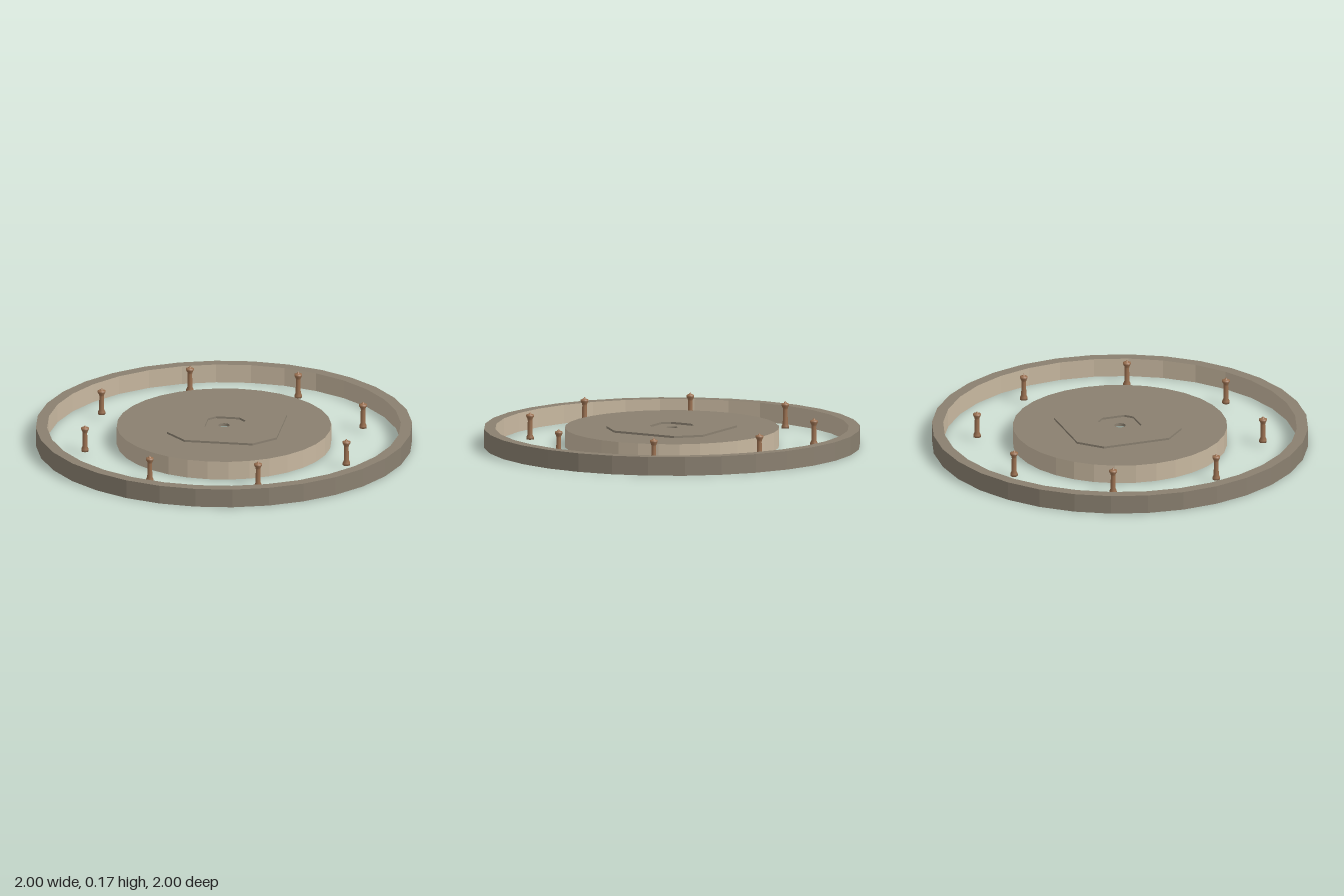
import * as THREE from 'three';

function material(name, color, flatShading) {
  const result = new THREE.MeshStandardMaterial({ color, flatShading });
  result.name = name;
  return result;
}
const stone = material('stone', 0x8a8070, true);
const paleStone = material('paleStone', 0xc8b8a0, true);
const bronze = material('bronze', 0x9a7050, false);

function addMesh(parent, name, geometry, mat) {
  const mesh = new THREE.Mesh(geometry, mat);
  mesh.name = name;
  parent.add(mesh);
  return mesh;
}

// Turned surface from [radius, height] pairs
function turned(profile, sides) {
  return new THREE.LatheGeometry(profile.map(([r, y]) => new THREE.Vector2(r, y)), sides);
}

// Square outline with cut corners
function cutSquare(target, cx, cy, half, cut) {
  const a = half - cut;
  const corners = [[-a, -half], [a, -half], [half, -a], [half, a], [a, half], [-a, half], [-half, a], [-half, -a]];
  target.setFromPoints(corners.map(([x, y]) => new THREE.Vector2(cx + x, cy + y)));
  return target;
}

function createPost() {
  const post = new THREE.Group();
  post.name = 'post';
  // Foot, slim shaft and flared head
  const profile = [[0, 0.02], [0.02, 0.02], [0.02, 0.032], [0.014, 0.045], [0.012, 0.12],
    [0.014, 0.13], [0.021, 0.143], [0.021, 0.151], [0.012, 0.155], [0, 0.155]];
  addMesh(post, 'postBody', turned(profile, 16), bronze);
  // Pointed tip on the head
  const tip = addMesh(post, 'postTip', new THREE.ConeGeometry(0.01, 0.013, 12), bronze);
  tip.position.y = 0.16;
  return post;
}

export function createModel() {
  const model = new THREE.Group();
  model.name = 'ringPlatform';
  const h = 0.1;

  // Outer ring: dark outside and top, pale inside and underside
  addMesh(model, 'outerRingShell', turned([[1, 0], [1, h], [0.94, h]], 32), stone);
  addMesh(model, 'outerRingLining', turned([[0.94, h], [0.94, 0], [1, 0]], 32), paleStone);

  // Inner ring: pale walls and underside, dark top
  addMesh(model, 'innerRingWall', turned([[0.525, h], [0.525, 0], [0.57, 0], [0.57, h]], 32), paleStone);
  addMesh(model, 'innerRingTop', turned([[0.57, h], [0.525, h]], 32), stone);

  // Disc with a small central hole
  addMesh(model, 'disc', turned([[0.03, 0.085], [0.525, 0.085], [0.525, h], [0.03, h], [0.03, 0.085]], 32), stone);

  // Raised eight-sided plate with an eight-sided opening
  const outline = cutSquare(new THREE.Shape(), 0.015, 0.007, 0.295, 0.112);
  outline.holes.push(cutSquare(new THREE.Path(), 0.005, 0, 0.1, 0.038));
  const plate = addMesh(model, 'plate', new THREE.ExtrudeGeometry(outline, { depth: 0.012, bevelEnabled: false }), stone);
  plate.rotation.x = -Math.PI / 2;
  plate.position.y = 0.099;

  // Eight posts between the rings
  for (let i = 0; i < 8; i++) {
    const a = ((i + 0.5) * Math.PI) / 4;
    const post = createPost();
    post.position.set(Math.cos(a) * 0.76, 0, Math.sin(a) * 0.76);
    model.add(post);
  }
  return model;
}
